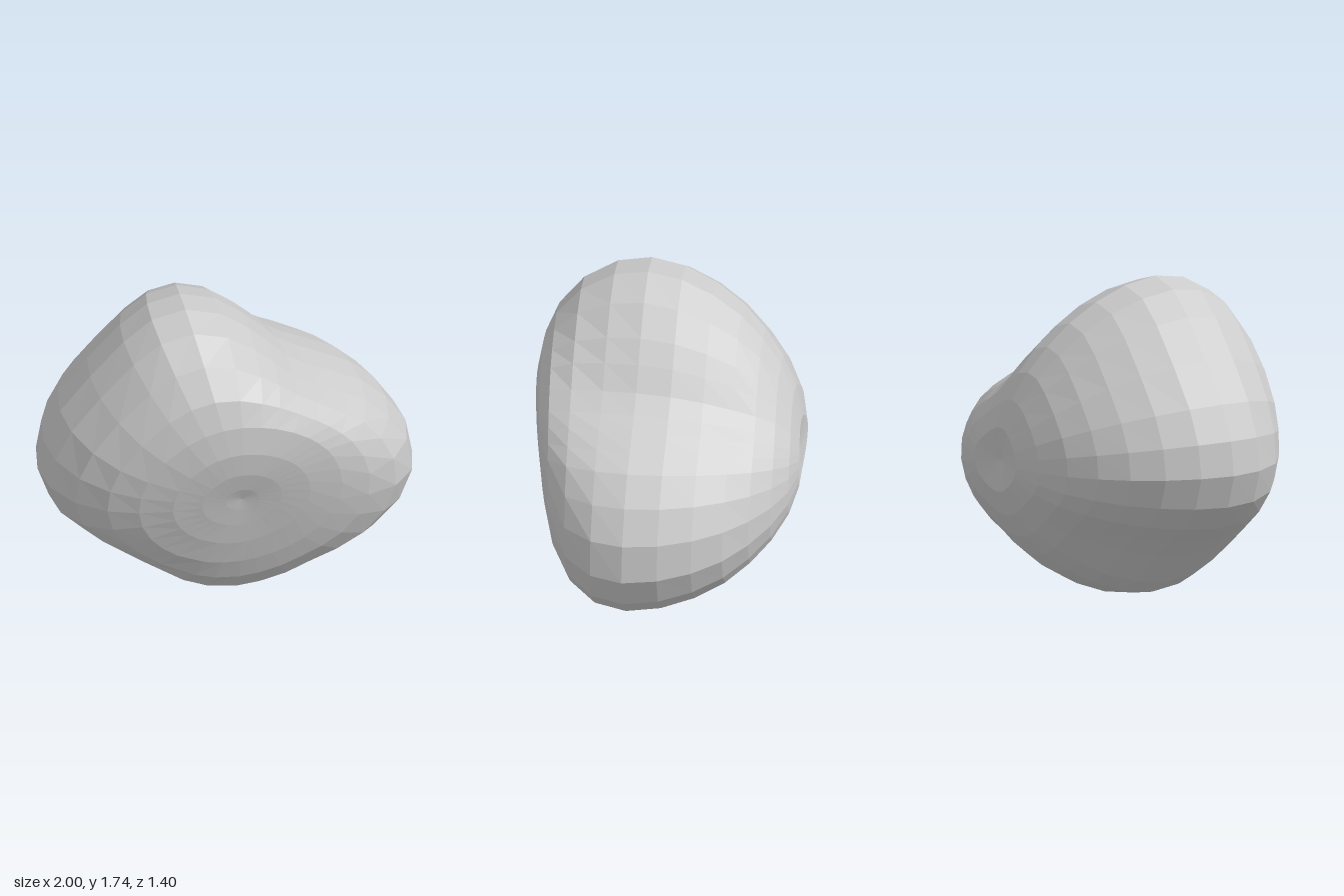
import * as THREE from 'three';

// Widest outline of the boulder (x, y), counter-clockwise from the right
const OUTLINE = [
  [1.0, 0.61], [0.965, 0.82], [0.86, 0.99], [0.73, 1.12], [0.62, 1.18], [0.52, 1.235], [0.43, 1.28], [0.33, 1.35],
  [0.23, 1.46], [0.13, 1.56], [-0.02, 1.68], [-0.21, 1.74], [-0.39, 1.7], [-0.54, 1.58], [-0.72, 1.38],
  [-0.88, 1.18], [-0.97, 1.0], [-1.0, 0.82], [-0.94, 0.64], [-0.8, 0.5], [-0.65, 0.4], [-0.52, 0.3],
  [-0.32, 0.12], [-0.18, 0.04], [0, 0], [0.14, 0.01], [0.3, 0.05], [0.45, 0.12], [0.62, 0.18], [0.79, 0.27], [0.93, 0.42],
];

// Rings from the front dimple to the back dimple: outline scale, z
const RINGS = [
  [0.09, 0.65], [0.22, 0.65], [0.38, 0.64], [0.56, 0.61], [0.72, 0.56], [0.87, 0.46], [0.97, 0.31], [1, 0.14],
  [0.97, -0.04], [0.9, -0.21], [0.8, -0.36], [0.68, -0.48], [0.54, -0.58], [0.38, -0.655], [0.21, -0.695], [0.08, -0.675],
];
const CX = -0.02, CY = 0.84;

function boulderGeometry() {
  const n = OUTLINE.length, pos = [], index = [];
  for (const [f, z] of RINGS) {
    const back = z < 0.1;
    const bump = 4 * f * (1 - f);
    // inner rings grow rounder, the front ones more so
    const round = back ? Math.max(0, 1 - f / 0.8) * 0.7 : Math.min(0.85, (1 - f) * 2.1);
    const shift = back ? 1 - f : 0; // back rings drift towards the back dimple
    for (const [px, py] of OUTLINE) {
      const dx = px - CX, dy = py - CY, r = Math.hypot(dx, dy);
      const c = dx / r, s = dy / r;
      const oval = 0.855 + 0.12 * c * c + 0.025 * s;
      const k = f * THREE.MathUtils.lerp(r, oval, round) * (back ? 1 - 0.04 * bump * s * s : 1);
      // front face swells towards the top, back face is fuller at the sides
      const lift = back ? 0.02 * bump * (s * s - 0.5) : bump * (0.015 + 0.05 * s - 0.015 * c);
      pos.push(CX + c * k + 0.04 * shift, CY + s * k - 0.04 * shift, z + lift);
    }
  }
  for (let i = 0; i < RINGS.length - 1; i++) {
    for (let j = 0; j < n; j++) {
      const a = i * n + j, b = i * n + (j + 1) % n, c = a + n, d = b + n;
      index.push(a, c, b, b, c, d);
    }
  }
  // dimple centres
  const front = pos.length / 3, last = (RINGS.length - 1) * n;
  pos.push(CX, CY, 0.645, CX + 0.04, CY - 0.04, -0.66);
  for (let j = 0; j < n; j++) {
    const k = (j + 1) % n;
    index.push(front, j, k, front + 1, last + k, last + j);
  }
  const g = new THREE.BufferGeometry();
  g.setAttribute('position', new THREE.Float32BufferAttribute(pos, 3));
  g.setIndex(index);
  const flat = g.toNonIndexed(); // faceted surface
  flat.computeVertexNormals();
  return flat;
}

export function createModel() {
  const group = new THREE.Group();
  group.name = 'rock';
  const stone = new THREE.MeshStandardMaterial({ color: 0xcccccc });
  stone.name = 'stone grey';
  const boulder = new THREE.Mesh(boulderGeometry(), stone);
  boulder.name = 'boulder';
  group.add(boulder);
  return group;
}
